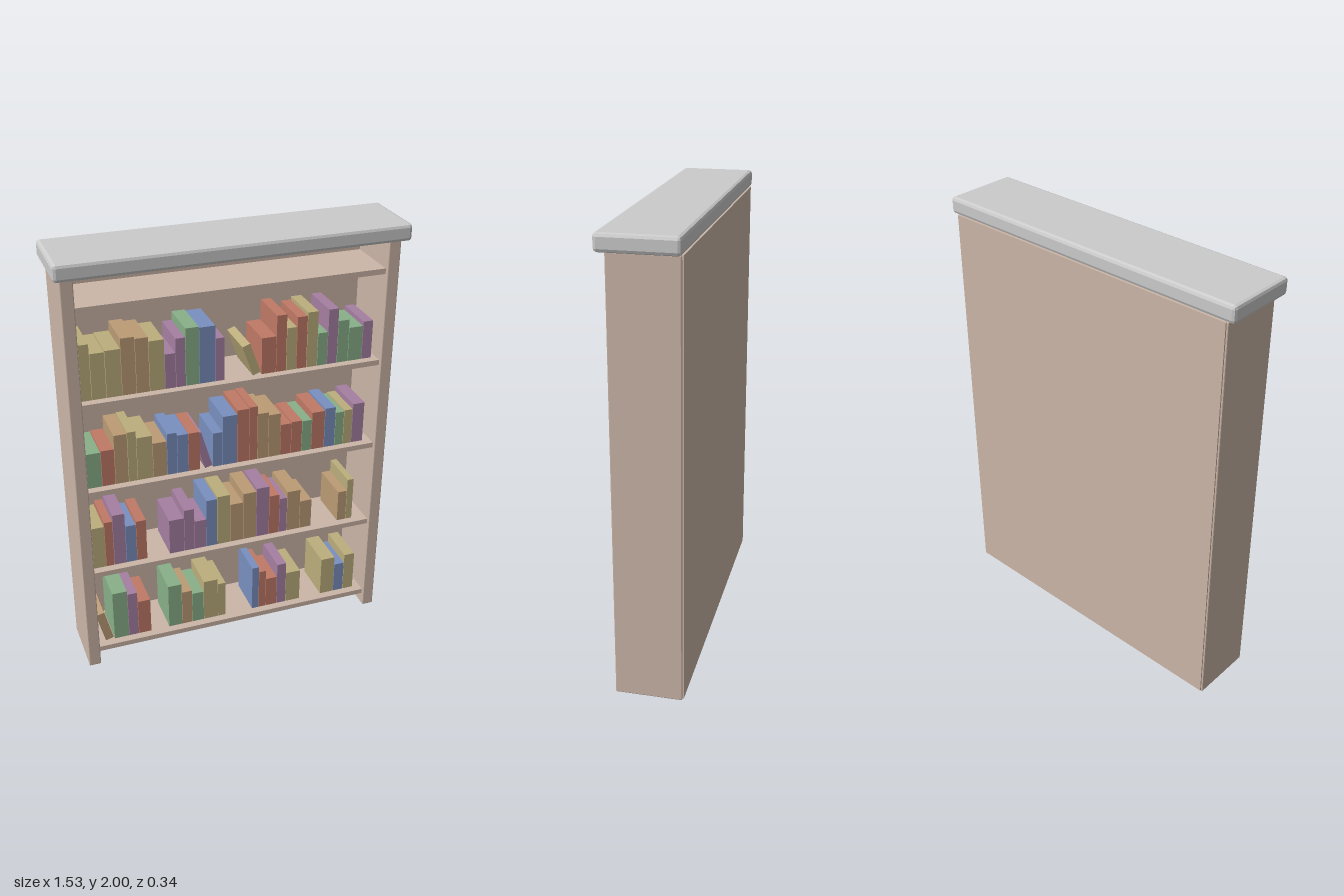
import * as THREE from 'three';
import { RoundedBoxGeometry } from 'three/addons/geometries/RoundedBoxGeometry.js';

const paint = (color) => new THREE.MeshStandardMaterial({ color, flatShading: true });
const wood = paint(0xccb6a8);
const grey = paint(0xcccccc);
const covers = {
  o: paint(0xbcae7c), t: paint(0xbc9c76), r: paint(0xc07a66),
  g: paint(0x88b088), b: paint(0x7a90c0), p: paint(0xa67fa2),
};

// Shelf tops, bottom to top; the highest one stays empty
const shelfTops = [0.085, 0.51, 0.937, 1.363, 1.795];

// Rows of books: [start x, 'colour width/height ...'] in hundredths of a unit
const bookRuns = [
  [
    [-59.5, 'g7.2/26 p4.8/24 r6.2/18.5'],
    [-32.5, 'g6.7/23.5 t5.2/18.5 g5.8/16.5 o7.2/22 o4/19'],
    [10, 'b3.6/24 r3.6/21 r5.8/16 p4.8/23 o7.5/17'],
    [46.5, 'o7.2/20.5 b5.2/16 o5.5/20.5'],
  ],
  [
    [-67, 'o5.9/21.5 r3.9/23.5 p5.7/26.5 b5/19.5 r4.8/21'],
    [-31, 'p7.2/18 p5/22 p5.8/15 b5.3/25 o6.4/26 t6.4/20.5 t6.6/25 p6.4/26.5 r5.2/21 p3.9/18.5 t6.6/21.5 t6/15'],
    [53.5, 't4.6/16 o3.3/22'],
  ],
  [
    [-67, 'g6.5/17 r6/17.5 t6/24 o4/24.5 o7.2/21 t6.5/17 b4.7/20.5 b5.2/19 r5.3/19'],
    [-9.7, 'b4.8/17 b6.9/24.5 r5.8/26.5 r3.9/27 t5.3/23 t5.8/21.5 r5.3/15.5 r5.3/16 g4.8/15.5 r6.4/19 b5.3/20 g4.3/17 o4.3/17.5 p5.8/20'],
  ],
  [
    [-67, 'o4.5/25.5 o6.3/21 o6.8/21.5 t6.2/26 t5.8/25 o6.8/23 p4.8/16 p4.4/22.5 g6.1/26.5 b7.3/26 p4/20'],
    [13, 'r6.8/17 r4.8/26.5 o4.8/20 r4.8/24.5 o5.1/26 g4.8/15.5 p4.8/26 g5.3/20 g6.8/16 p4.8/18'],
  ],
];

// Leaning books: [shelf, x of the lower right corner, width, length, tilt, colour]
const leaningBooks = [
  [0, -0.6, 0.04, 0.16, 0.25, 't'],
  [2, -0.1, 0.035, 0.185, 0.28, 'p'],
  [3, 0.125, 0.037, 0.15, 0.34, 'o'],
];

// Box given by its limits, with an optional chamfer
function board(name, material, [x0, x1], [y0, y1], [z0, z1], chamfer = 0) {
  const size = [x1 - x0, y1 - y0, z1 - z0];
  const geometry = chamfer
    ? new RoundedBoxGeometry(...size, 1, chamfer)
    : new THREE.BoxGeometry(...size);
  const mesh = new THREE.Mesh(geometry, material);
  mesh.name = name;
  mesh.position.set((x0 + x1) / 2, (y0 + y1) / 2, (z0 + z1) / 2);
  return mesh;
}

export function createModel() {
  const model = new THREE.Group();
  model.name = 'bookcase';

  // Case: chamfered top, two sides and the back
  model.add(board('topSlab', grey, [-0.765, 0.765], [1.925, 2], [-0.168, 0.168], 0.015));
  model.add(board('leftSide', wood, [0.68, 0.735], [0, 1.925], [-0.162, 0.13], 0.004));
  model.add(board('rightSide', wood, [-0.735, -0.68], [0, 1.925], [-0.162, 0.13], 0.004));
  model.add(board('backPanel', wood, [-0.727, 0.727], [0.005, 1.925], [-0.168, -0.15]));

  // Shelves, set back a little from the sides
  for (const top of shelfTops) {
    model.add(board('shelf', wood, [-0.69, 0.69], [top - 0.025, top], [-0.155, 0.112]));
  }

  // Upright books
  const back = -0.125, front = 0.075;
  bookRuns.forEach((runs, shelf) => {
    const row = new THREE.Group();
    row.name = 'bookRow';
    const y = shelfTops[shelf];
    for (const [start, books] of runs) {
      let x = start / 100;
      for (const book of books.split(' ')) {
        const [width, height] = book.slice(1).split('/').map((v) => v / 100);
        row.add(board('book', covers[book[0]], [x, x + width - 0.002], [y, y + height], [back, front]));
        x += width;
      }
    }
    model.add(row);
  });

  // Leaning books pivot on their lower right corner
  for (const [shelf, x, width, length, tilt, colour] of leaningBooks) {
    const pivot = new THREE.Group();
    pivot.name = 'leaningBook';
    pivot.add(board('book', covers[colour], [-width, 0], [0, length], [back, front]));
    pivot.position.set(x, shelfTops[shelf], 0);
    pivot.rotation.z = tilt;
    // Lift the tilted book so that its lowest corner rests on the shelf
    pivot.position.y += width * Math.sin(tilt);
    model.add(pivot);
  }

  return model;
}
